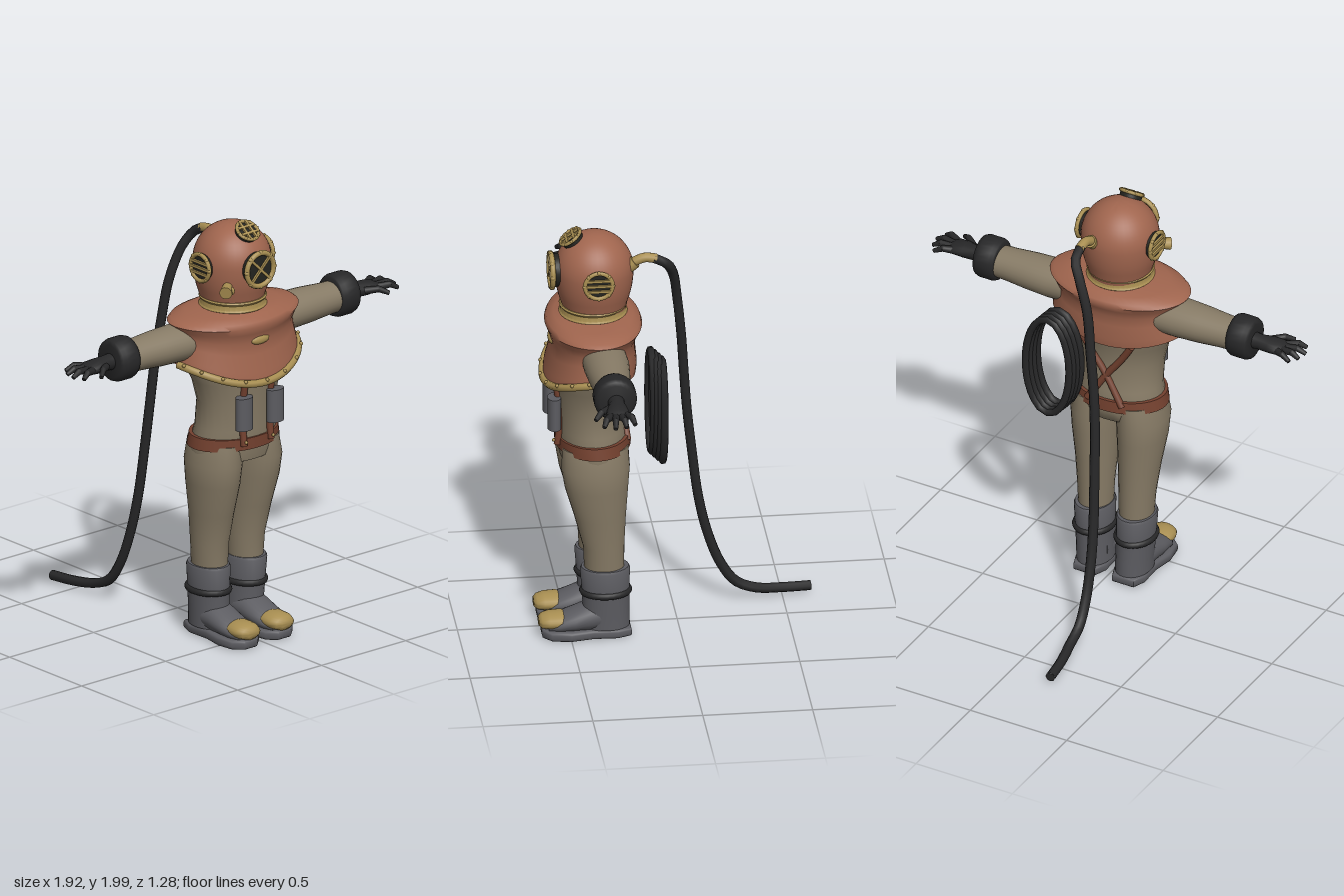
import * as THREE from 'three';
import { toCreasedNormals } from 'three/addons/utils/BufferGeometryUtils.js';

const mat = (name, color, side = THREE.FrontSide) => {
  const m = new THREE.MeshStandardMaterial({ color, side });
  m.name = name;
  return m;
};
const V = (x, y, z) => new THREE.Vector3(x, y, z);

// Skin over closed rows of points, running upward in y, with optional end caps
function skin(rows, caps = true) {
  const n = rows[0].length, pos = rows.flat().flatMap(p => p.toArray()), idx = [];
  for (let i = 0; i < rows.length - 1; i++)
    for (let j = 0; j < n; j++) {
      const a = i * n + j, b = i * n + (j + 1) % n;
      idx.push(a, b, a + n, b, b + n, a + n);
    }
  if (caps) for (let j = 1; j < n - 1; j++) {
    const t = (rows.length - 1) * n;
    idx.push(0, j + 1, j, t, t + j, t + j + 1);
  }
  const g = new THREE.BufferGeometry();
  g.setAttribute('position', new THREE.Float32BufferAttribute(pos, 3));
  g.setIndex(idx);
  return toCreasedNormals(g, 0.9);
}
// One row, counter-clockwise from above; at(angle) gives each point
const row = (n, at) => Array.from({ length: n }, (_, j) => at(-j / n * Math.PI * 2));
// Elliptic rings [y, centre x, radius x, centre z, radius z], bottom to top
const loft = (rings, n = 28) => skin(rings.map(([y, cx, rx, cz, rz]) =>
  row(n, a => V(cx + rx * Math.cos(a), y, cz + rz * Math.sin(a)))));

export function createModel() {
  const root = new THREE.Group();
  root.name = 'deepSeaDiver';
  const copper = mat('copper', 0xa0654e, THREE.DoubleSide), suit = mat('canvas', 0x877b66), brass = mat('brass', 0xa98f52),
    black = mat('blackRubber', 0x272728), lead = mat('lead', 0x5c5c61), leather = mat('leather', 0x74412f),
    glass = mat('darkGlass', 0x23231f);
  const add = (name, geo, m, p = [0, 0, 0], parent = root) => {
    const mesh = new THREE.Mesh(geo, m);
    mesh.name = name;
    mesh.position.set(...p);
    parent.add(mesh);
    return mesh;
  };
  const tube = (name, pts, r, m, seg = 30, sides = 8, closed = false) => {
    add(name, new THREE.TubeGeometry(new THREE.CatmullRomCurve3(pts, closed), seg, r, sides, closed), m);
    if (!closed) for (const [i, j] of [[0, 1], [pts.length - 1, pts.length - 2]]) {
      const cap = add(name + 'End', new THREE.CircleGeometry(r, sides), m, pts[i].toArray());
      cap.lookAt(pts[i].clone().multiplyScalar(2).sub(pts[j]));
    }
  };
  const limb = (name, a, b, r1, r2, m) => {
    const d = b.clone().sub(a);
    const mesh = add(name, new THREE.CylinderGeometry(r2, r1, d.length(), 10), m, a.clone().add(b).multiplyScalar(0.5).toArray());
    mesh.quaternion.setFromUnitVectors(V(0, 1, 0), d.normalize());
  };
  const lathe = pts => toCreasedNormals(new THREE.LatheGeometry(pts.map(p => new THREE.Vector2(...p)), 40), 0.6);

  // Helmet: a dome that runs down into a wide neck, and the neck ring
  const dome = Array.from({ length: 15 }, (_, i) => [0.179 * Math.cos(i / 14 * Math.PI / 2), 1.79 + 0.181 * Math.sin(i / 14 * Math.PI / 2)]);
  add('helmet', lathe([[0.144, 1.6], [0.15, 1.63], [0.163, 1.67], [0.172, 1.71], [0.177, 1.75], ...dome]), copper, [0, 0, 0.378]);
  add('neckRing', lathe([[0.13, 0], [0.15, 0], [0.156, 0.006], [0.15, 0.014], [0.149, 0.036], [0.155, 0.045], [0.15, 0.052], [0.13, 0.052]]), brass, [0, 1.576, 0.383]);

  // Portholes: bolted frame, dark pane and guard bars given as [offset, angle]
  function porthole(name, r, pos, rot, bars) {
    const g = new THREE.Group();
    g.name = name;
    g.position.set(...pos);
    g.rotation.set(...rot);
    root.add(g);
    const drum = add(name + 'Drum', new THREE.CylinderGeometry(r * 0.84, r * 0.84, 0.04, 32), glass, [0, 0, -0.02], g);
    drum.rotation.x = Math.PI / 2;
    add(name + 'Frame', new THREE.TorusGeometry(r * 0.86, r * 0.14, 8, 32), brass, [0, 0, 0], g);
    for (let i = 0; i < 8; i++) {
      const a = i / 8 * Math.PI * 2;
      add(name + 'Bolt', new THREE.SphereGeometry(r * 0.13, 8, 6), brass, [r * 0.9 * Math.cos(a), r * 0.9 * Math.sin(a), 0.002], g);
    }
    for (const [off, a] of bars) {
      const len = 2 * Math.sqrt(0.72 * r * r - off * off);
      const bar = add(name + 'Bar', new THREE.BoxGeometry(len, 0.012, 0.01), brass, [-Math.sin(a) * off, Math.cos(a) * off, 0.005], g);
      bar.rotation.z = a;
    }
  }
  const h = Math.PI / 2;
  porthole('frontPorthole', 0.091, [0, 1.79, 0.573], [0, 0, 0], [[0, h / 2], [0, -h / 2]]);
  for (const s of [1, -1])
    porthole(s > 0 ? 'leftPorthole' : 'rightPorthole', 0.073, [s * 0.19, 1.79, 0.378], [0, s * h, 0], [[-0.026, 0], [0, 0], [0.026, 0]]);
  porthole('topPorthole', 0.061, [0, 1.954, 0.486], [-0.96, 0, 0], [[-0.018, 0], [0.018, 0], [-0.018, h], [0.018, h]]);

  // Speaking valve and air inlet
  limb('speakingValve', V(-0.1, 1.72, 0.47), V(-0.172, 1.705, 0.535), 0.018, 0.03, brass);
  add('valveKnob', new THREE.SphereGeometry(0.02, 12, 8), brass, [-0.135, 1.705, 0.525]);
  tube('airInlet', [V(0.05, 1.82, 0.23), V(0.055, 1.85, 0.18), V(0.056, 1.858, 0.15), V(0.056, 1.85, 0.1)], 0.022, brass, 14, 12);
  limb('inletCollar', V(0.05, 1.81, 0.23), V(0.053, 1.838, 0.197), 0.03, 0.03, brass);
  tube('airHose', [[0.056, 1.853, 0.115], [0.05, 1.82, 0.055], [0.01, 1.75, 0.02], [-0.045, 1.6, -0.005], [-0.075, 1.4, -0.027],
    [-0.1, 1.2, -0.042], [-0.115, 1, -0.058], [-0.125, 0.8, -0.08], [-0.138, 0.55, -0.112], [-0.148, 0.36, -0.155],
    [-0.156, 0.2, -0.215], [-0.162, 0.1, -0.285], [-0.168, 0.058, -0.38], [-0.19, 0.042, -0.5], [-0.206, 0.037, -0.63]]
    .map(p => V(...p)), 0.023, black, 70, 8);

  // Breastplate: flared rows [drop, radius x, radius z], closer to the body low on the back
  const hem = a => (Math.sin(a) > 0 ? 1.262 : 1.3) + (Math.sin(a) > 0 ? 0.1 : 0.06) * Math.cos(a) ** 2;
  const plate = [[1, 0.335, 0.228], [0.85, 0.33, 0.222], [0.6, 0.318, 0.2], [0.42, 0.315, 0.193], [0.28, 0.33, 0.205],
    [0.17, 0.345, 0.22], [0.1, 0.325, 0.212], [0.04, 0.24, 0.18], [0, 0.145, 0.14]];
  add('breastplate', skin(plate.map(([t, rx, rz]) => row(48, a => V(rx * Math.cos(a), 1.582 + t * (hem(a) - 1.582),
    0.382 + rz * Math.sin(a) * (Math.sin(a) < 0 ? 1 - 0.17 * t * t : 1)))), false), copper);
  const rim = a => V(0.336 * Math.cos(a), hem(a), 0.382 + 0.229 * Math.sin(a));
  tube('breastplateRim', Array.from({ length: 17 }, (_, i) => rim(0.06 + i / 16 * (Math.PI - 0.12))), 0.018, brass, 48, 8);
  for (let i = 0; i < 9; i++) {
    const p = rim(0.2 + i / 8 * (Math.PI - 0.4));
    add('rimBolt', new THREE.SphereGeometry(0.009, 8, 6), brass, [p.x * 1.03, p.y + 0.012, p.z + 0.012]);
  }
  add('chestBadge', new THREE.SphereGeometry(1, 20, 12), brass, [0, 1.455, 0.574]).scale.set(0.052, 0.022, 0.016);

  // Suit torso and belt
  add('torso', loft([[0.845, 0, 0.12, 0.38, 0.1], [0.87, 0, 0.215, 0.385, 0.15], [0.93, 0, 0.224, 0.385, 0.163], [1.02, 0, 0.198, 0.395, 0.155],
    [1.15, 0, 0.203, 0.408, 0.147], [1.25, 0, 0.228, 0.405, 0.16], [1.33, 0, 0.268, 0.4, 0.175], [1.42, 0, 0.29, 0.385, 0.17],
    [1.5, 0, 0.27, 0.38, 0.15], [1.55, 0, 0.17, 0.38, 0.12]]), suit);
  add('belt', loft([[0.93, 0, 0.234, 0.385, 0.172], [0.985, 0, 0.224, 0.388, 0.17]], 36), leather);

  for (const s of [1, -1]) {
    // Harness straps and chest weights
    tube('frontStrap', [V(s * 0.08, 1.29, 0.565), V(s * 0.08, 1.18, 0.55), V(s * 0.08, 1.05, 0.545), V(s * 0.08, 0.955, 0.555)], 0.016, leather, 16);
    add('strapRivet', new THREE.SphereGeometry(0.008, 8, 6), brass, [s * 0.08, 0.975, 0.571]);
    tube('backStrap', [V(s * 0.13, 1.29, 0.25), V(s * 0.08, 1.21, 0.256), V(0, 1.1, 0.252), V(-s * 0.09, 0.96, 0.235)], 0.016, leather, 18);
    add('chestWeight', new THREE.CylinderGeometry(0.045, 0.045, 0.155, 20), lead, [s * 0.092, 1.12, 0.57]).scale.z = 0.7;

    // Sleeve, cuff and glove
    const sleeve = add('sleeve', loft([[0.2, 0, 0.085, 0.362, 0.1], [0.33, 0, 0.086, 0.36, 0.104], [0.45, 0, 0.082, 0.36, 0.095],
      [0.55, 0, 0.075, 0.36, 0.084], [0.63, 0, 0.072, 0.36, 0.08]]), suit, [0, 1.456, 0]);
    const cuff = add('cuff', loft([[0.602, 0, 0.085, 0.36, 0.08], [0.606, 0, 0.095, 0.36, 0.09], [0.625, 0, 0.102, 0.36, 0.098],
      [0.685, 0, 0.102, 0.36, 0.098], [0.705, 0, 0.095, 0.36, 0.09], [0.711, 0, 0.08, 0.36, 0.075]], 24), black, [0, 1.46, 0]);
    const glove = add('glovePalm', loft([[0.69, 0, 0.04, 0.36, 0.04], [0.74, 0, 0.036, 0.36, 0.036], [0.79, 0, 0.034, 0.365, 0.05],
      [0.84, 0, 0.027, 0.365, 0.055], [0.865, 0, 0.014, 0.365, 0.045]], 16), black, [0, 1.457, 0]);
    for (const m of [sleeve, cuff, glove]) m.rotation.z = -s * h;
    const fingers = [[0.85, 0.4, 0.9, 0.425, 0.935, 0.44], [0.86, 0.378, 0.915, 0.385, 0.957, 0.39],
      [0.855, 0.352, 0.91, 0.343, 0.948, 0.338], [0.84, 0.33, 0.88, 0.308, 0.922, 0.297], [0.77, 0.4, 0.82, 0.44, 0.857, 0.47]];
    for (const [x0, z0, x1, z1, x2, z2] of fingers) {
      const a = V(s * x0, 1.457, z0), b = V(s * x1, 1.465, z1), c = V(s * x2, 1.445, z2);
      limb('finger', a, b, 0.018, 0.015, black);
      limb('fingertip', b, c, 0.015, 0.01, black);
      add('knuckle', new THREE.SphereGeometry(0.015, 8, 6), black, b.toArray());
    }

    // Trouser leg, boot shaft and strap
    add('leg', loft([[0.3, s * 0.105, 0.076, 0.343, 0.09], [0.45, s * 0.107, 0.084, 0.347, 0.094], [0.6, s * 0.111, 0.094, 0.363, 0.117],
      [0.75, s * 0.117, 0.109, 0.38, 0.144], [0.85, s * 0.118, 0.114, 0.385, 0.156], [0.95, s * 0.11, 0.1, 0.385, 0.15]]), suit);
    add('bootShaft', loft([[0.05, s * 0.1, 0.083, 0.335, 0.108], [0.12, s * 0.102, 0.083, 0.335, 0.106], [0.22, s * 0.106, 0.086, 0.338, 0.108],
      [0.335, s * 0.109, 0.09, 0.341, 0.114], [0.347, s * 0.109, 0.085, 0.341, 0.108]]), lead);
    const strap = add('bootStrap', new THREE.TorusGeometry(0.094, 0.016, 8, 28), black, [s * 0.107, 0.225, 0.338]);
    strap.rotation.x = h;
    strap.scale.set(0.9, 1.1, 1);

    // Foot and toe cap, lofted forward along z from [z, half width, bottom, top]
    const forward = (name, rings, m) => {
      add(name, loft(rings.map(([z, w, lo, hi]) => [z, s * 0.1, w, -(lo + hi) / 2, (hi - lo) / 2]), 24), m).rotation.x = h;
    };
    forward('bootFoot', [[0.3, 0.08, 0.03, 0.2], [0.42, 0.082, 0.03, 0.165], [0.48, 0.082, 0.03, 0.138], [0.55, 0.076, 0.03, 0.112], [0.6, 0.05, 0.03, 0.08]], lead);
    forward('toeCap', [[0.525, 0.064, 0.045, 0.118], [0.54, 0.071, 0.045, 0.122], [0.595, 0.068, 0.045, 0.12], [0.628, 0.054, 0.048, 0.112], [0.643, 0.03, 0.06, 0.1]], brass);

    // Weighted sole
    const outline = new THREE.Shape([[-0.045, 0.24], [0.045, 0.24], [0.064, 0.29], [0.06, 0.4], [0.078, 0.5], [0.066, 0.58], [0.03, 0.613],
      [-0.03, 0.613], [-0.066, 0.58], [-0.078, 0.5], [-0.06, 0.4], [-0.064, 0.29]].map(p => new THREE.Vector2(p[0], -p[1])));
    const sole = new THREE.ExtrudeGeometry(outline, { depth: 0.018, bevelEnabled: true, bevelSize: 0.016, bevelThickness: 0.014, bevelSegments: 3 });
    add('sole', toCreasedNormals(sole, 0.8), lead, [s * 0.1, 0.018, 0]).rotation.x = -h;
  }

  // Coiled spare line behind the left hip
  for (let i = 0; i < 4; i++) {
    const pts = Array.from({ length: 14 }, (_, j) => {
      const a = j / 14 * Math.PI * 2;
      return V(0.184 + i * 0.011 + 0.113 * Math.cos(a), 1.2 - i * 0.011 + 0.252 * Math.sin(a), 0.14 - i * 0.015);
    });
    tube('coiledLine', pts, 0.018, black, 28, 6, true);
  }
  return root;
}
